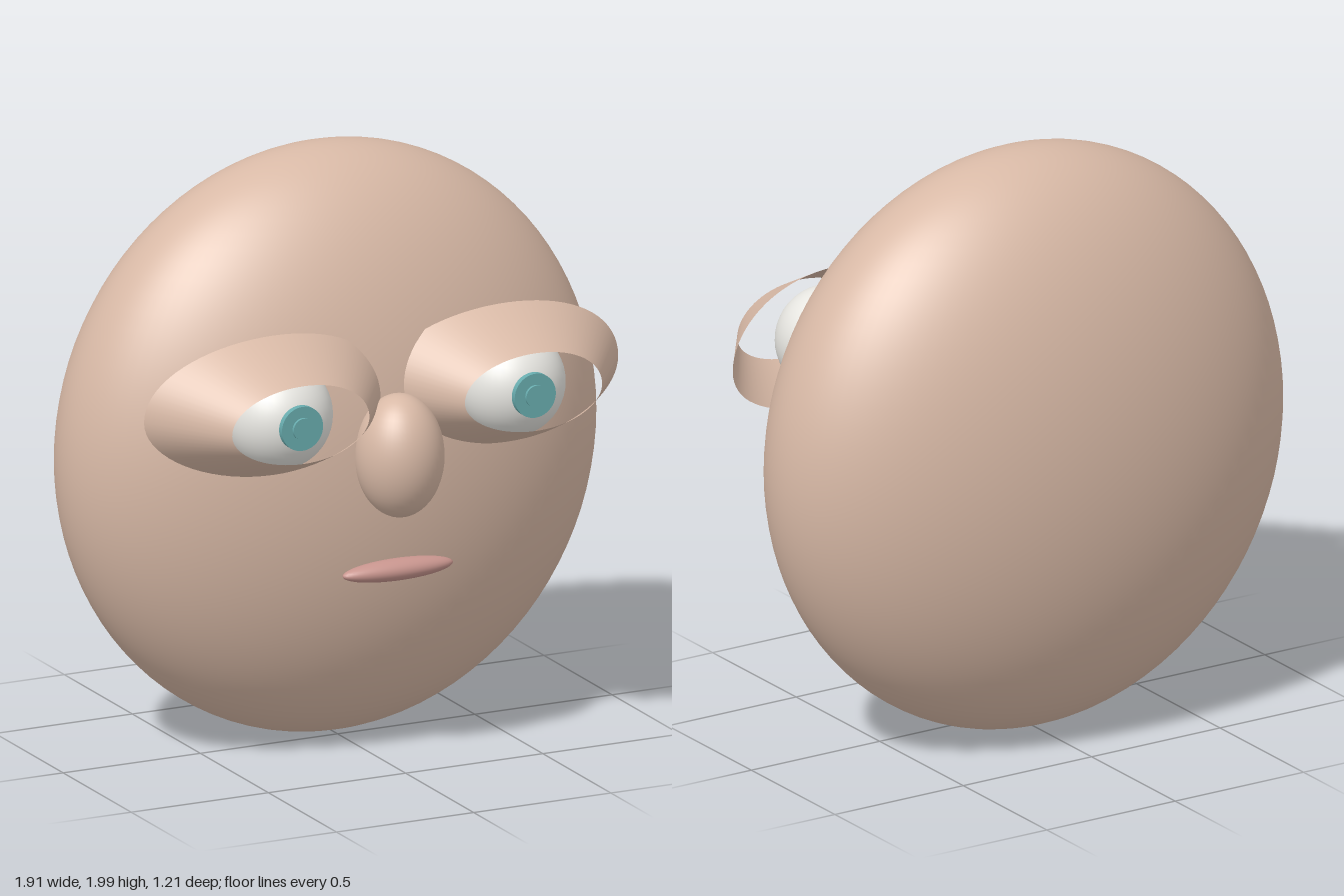
import * as THREE from 'three';

export function createModel() {
  const group = new THREE.Group();
  const mat = (name, color, side = THREE.FrontSide) => {
    const m = new THREE.MeshStandardMaterial({ color, side });
    m.name = name;
    return m;
  };
  const skin = mat('skin', 0xd8b9a6, THREE.DoubleSide);
  const white = mat('eyeWhite', 0xecebe6);
  const teal = mat('irisTeal', 0x68acae);
  const lip = mat('lipPink', 0xc8958e);

  const add = (name, geometry, material, x, y, z) => {
    const mesh = new THREE.Mesh(geometry, material);
    mesh.name = name;
    mesh.position.set(x, y, z);
    group.add(mesh);
    return mesh;
  };
  const ellipsoid = (rx, ry, rz, seg = 48) =>
    new THREE.SphereGeometry(1, seg, seg / 2).scale(rx, ry, rz);
  const disc = (r, depth) => new THREE.CylinderGeometry(r, r, depth, 40).rotateX(Math.PI / 2);

  // Flattened head, nose and mouth
  add('head', ellipsoid(0.955, 0.997, 0.515, 96), skin, 0, 1.003, -0.092);
  add('nose', ellipsoid(0.147, 0.208, 0.15), skin, 0, 1.078, 0.455);
  add('mouth', ellipsoid(0.2, 0.036, 0.047), lip, 0, 0.686, 0.442);

  // Eyelid: an open sleeve tapering forward, its rims bowed back at the corners
  const rims = [
    { rx: 0.44, up: 0.257, down: 0.218, z: 0.385, bow: 0.065 },
    { rx: 0.25, up: 0.143, down: 0.122, z: 0.605, bow: 0.02 },
  ];
  const eyelid = () => {
    const n = 72, geo = new THREE.PlaneGeometry(1, 1, n, 1), p = geo.attributes.position;
    rims.forEach((rim, j) => {
      for (let i = 0; i <= n; i++) {
        const a = -(i / n) * Math.PI * 2, c = Math.cos(a), s = Math.sin(a);
        p.setXYZ(j * (n + 1) + i, rim.rx * c, s * (s > 0 ? rim.up : rim.down), rim.z - rim.bow * c * c);
      }
    });
    // wind the faces outward
    const index = geo.index.array;
    for (let k = 0; k < index.length; k += 3) [index[k], index[k + 1]] = [index[k + 1], index[k]];
    geo.computeVertexNormals();
    const normal = geo.attributes.normal;
    if (normal.getX(1) * p.getX(1) < 0) {
      for (let k = 0; k < index.length; k += 3) [index[k], index[k + 1]] = [index[k + 1], index[k]];
      geo.computeVertexNormals();
    }
    return geo;
  };

  // Mirrored pair of eyes
  for (const [side, x] of [['left', 0.424], ['right', -0.424]]) {
    add(side + 'Eyeball', ellipsoid(0.183, 0.183, 0.183), white, x, 1.262, 0.41);
    add(side + 'Iris', disc(0.075, 0.03), teal, x, 1.262, 0.583);
    add(side + 'Pupil', disc(0.037, 0.02), teal, x, 1.262, 0.598);
    add(side + 'Eyelid', eyelid(), skin, x, 1.266, 0);
  }
  return group;
}
